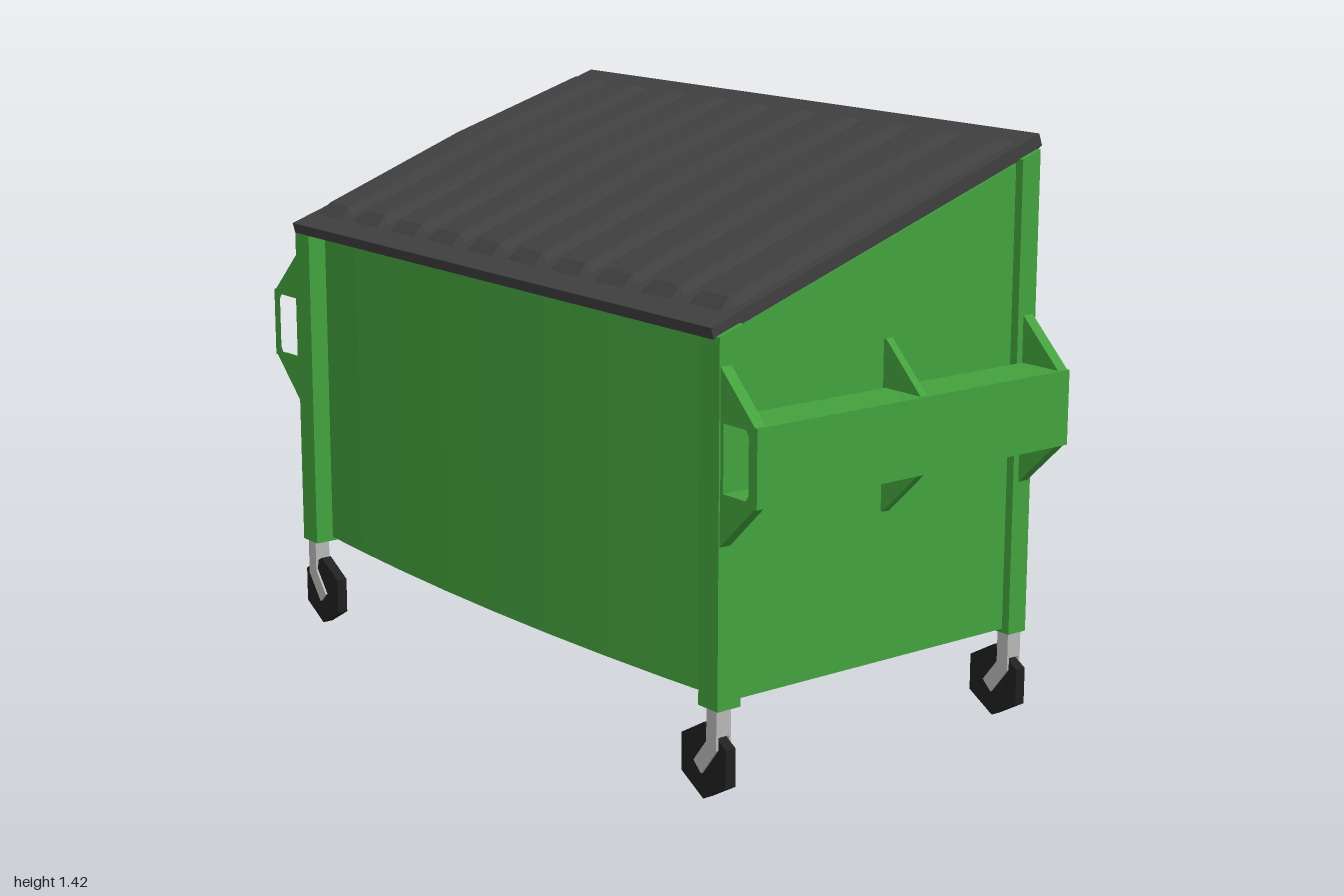
import * as THREE from 'three';

const green = new THREE.MeshStandardMaterial({ color: 0x43a23d });
green.name = 'green steel';
const charcoal = new THREE.MeshStandardMaterial({ color: 0x404040 });
charcoal.name = 'charcoal plastic';
const black = new THREE.MeshStandardMaterial({ color: 0x202020 });
black.name = 'black rubber';
const grey = new THREE.MeshStandardMaterial({ color: 0xb8b8b8 });
grey.name = 'grey metal';

const shapeOf = (pts) => new THREE.Shape(pts.map(([a, b]) => new THREE.Vector2(a, b)));

function addMesh(parent, name, geometry, material) {
  const mesh = new THREE.Mesh(geometry, material);
  mesh.name = name;
  parent.add(mesh);
  return mesh;
}

// Plate with an x-y outline, centred at depth z
function plate(shape, thickness, z) {
  const g = new THREE.ExtrudeGeometry(shape, { depth: thickness, bevelEnabled: false });
  return g.translate(0, 0, z - thickness / 2);
}

// Upright prism from an x-z plan, cut off at the top by the sloping lid line;
// adjust can move the vertices further
function prism(plan, bottom, topOffset, adjust) {
  const g = new THREE.ExtrudeGeometry(shapeOf(plan.map(([x, z]) => [x, -z])), { depth: 1, bevelEnabled: false });
  g.rotateX(-Math.PI / 2);
  const p = g.attributes.position;
  for (let i = 0; i < p.count; i++) {
    const isTop = p.getY(i) > 0.5;
    p.setY(i, isTop ? topOffset - 0.337 * p.getZ(i) : bottom);
    if (adjust) adjust(p, i, isTop);
  }
  g.computeVertexNormals();
  return g;
}

// Raised lid rib: a grid whose inner vertices are lifted above the lid slope
function ribGeometry() {
  const xs = [-0.066, -0.046, 0.046, 0.066];
  const zs = [-0.43, -0.395, 0, 0.405, 0.43];
  const rise = [0, 0.021, 0.034, 0.021, 0];
  const g = new THREE.PlaneGeometry(1, 1, 3, 4).rotateX(-Math.PI / 2);
  const p = g.attributes.position;
  for (let i = 0; i < p.count; i++) {
    const col = i % 4, row = Math.floor(i / 4);
    const lift = col === 0 || col === 3 ? -0.002 : rise[row];
    p.setXYZ(i, xs[col], 1.2535 - 0.345 * zs[row] + lift, zs[row]);
  }
  const flat = g.toNonIndexed();
  flat.computeVertexNormals();
  return flat;
}

export function createModel() {
  const model = new THREE.Group();
  model.name = 'dumpster';

  // Bin body with gently bowed front and back panels
  const plan = [];
  const steps = 8;
  for (const s of [1, -1]) {
    for (let i = 0; i <= steps; i++) {
      const t = (i / steps) * 2 - 1;
      plan.push([s * t * 0.855, s * (0.425 + 0.04 * (1 - t * t))]);
    }
  }
  addMesh(model, 'binBody', prism(plan, 0.235, 1.213), green);

  // Lid slab
  const slab = new THREE.ExtrudeGeometry(
    shapeOf([[0.485, 1.058], [0.492, 1.084], [-0.48, 1.42], [-0.49, 1.392], [-0.475, 1.382], [0.42, 1.078]]),
    { depth: 1.73, bevelEnabled: false });
  slab.translate(0, 0, -0.865).rotateY(-Math.PI / 2);
  addMesh(model, 'lid', slab, charcoal);

  // Lid ribs
  const rib = ribGeometry();
  for (let i = 0; i < 10; i++) {
    addMesh(model, 'lidRib', rib, charcoal).position.x = (i - 4.5) * 0.172;
  }

  for (const s of [1, -1]) {
    // Corner posts; the back ones widen towards the foot
    addMesh(model, 'frontPost', prism(
      [[s * 0.81, 0.413], [s * 0.877, 0.413], [s * 0.877, 0.478], [s * 0.81, 0.478]], 0.225, 1.225), green);
    addMesh(model, 'backPost', prism(
      [[s * 0.82, -0.418], [s * 0.877, -0.418], [s * 0.877, -0.474], [s * 0.82, -0.474]], 0.225, 1.225,
      (p, i, isTop) => {
        if (!isTop && Math.abs(p.getX(i)) < 0.85) p.setX(i, s * 0.76);
      }), green);

    // Fork pocket: an open tube along the side
    const tube = shapeOf([[0.878, 0.71], [1, 0.71], [1, 0.888], [0.878, 0.888]].map(([x, y]) => [s * x, y]));
    tube.holes.push(shapeOf(
      [[0.888, 0.722], [0.963, 0.722], [0.972, 0.735], [0.972, 0.865], [0.963, 0.878], [0.888, 0.878]]
        .map(([x, y]) => [s * x, y])));
    addMesh(model, 'forkPocket', plate(tube, 0.94, 0.005), green);

    // Gussets above and below the pocket
    for (const z of [0.46, -0.012, -0.45]) {
      const t = z === -0.012 ? 0.02 : 0.03;
      addMesh(model, 'upperGusset',
        plate(shapeOf([[s * 0.87, 0.887], [s * 0.993, 0.887], [s * 0.877, 1], [s * 0.87, 1]]), t, z), green);
      addMesh(model, 'lowerGusset',
        plate(shapeOf([[s * 0.87, 0.711], [s * 0.993, 0.711], [s * 0.877, 0.6], [s * 0.87, 0.6]]), t, z), green);
    }

    // Casters: six-sided wheel between two bent fork plates
    for (const z of [0.45, -0.45]) {
      const caster = new THREE.Group();
      caster.name = 'caster';
      caster.position.z = z;
      model.add(caster);

      const wheel = new THREE.CylinderGeometry(0.09, 0.09, 0.028, 6).toNonIndexed();
      wheel.computeVertexNormals();
      wheel.rotateX(Math.PI / 2).translate(s * 0.812, 0.092, 0);
      addMesh(caster, 'wheel', wheel, black);

      const fork = shapeOf(
        [[0.865, 0.228], [0.83, 0.228], [0.83, 0.145], [0.785, 0.088], [0.812, 0.063], [0.865, 0.13]]
          .map(([x, y]) => [s * x, y]));
      for (const side of [1, -1]) addMesh(caster, 'forkPlate', plate(fork, 0.006, side * 0.018), grey);
      addMesh(caster, 'stem', new THREE.BoxGeometry(0.035, 0.066, 0.036).translate(s * 0.8475, 0.193, 0), grey);
    }
  }
  return model;
}
